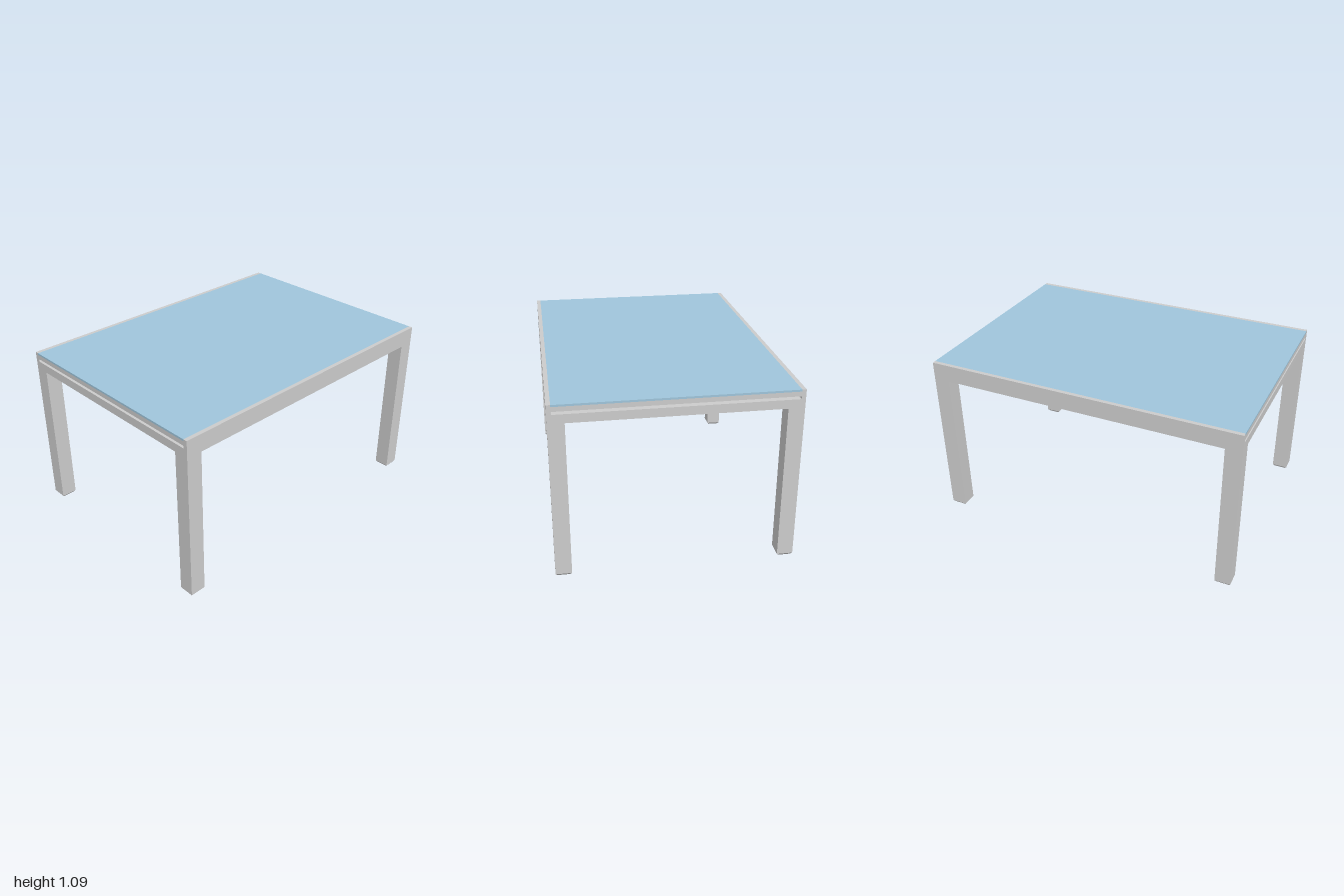
import * as THREE from 'three';

const W = 0.713, L = 1;                      // half width, half length
const LEG_X = 0.096, LEG_Z = 0.1, FOOT = 0.015;
const APRON = 0.975, SEAT = 1.073, TOP = 1.085; // rail underside, glass seat, top
const GLASS_W = 0.688, RAIL = 0.053;

const grey = new THREE.MeshStandardMaterial({ color: 0xcccccc, flatShading: true });
const blue = new THREE.MeshStandardMaterial({ color: 0x9fc5db, flatShading: true });

function add(parent, name, geometry, material, x = 0, y = 0, z = 0) {
  const mesh = new THREE.Mesh(geometry, material);
  mesh.name = name;
  mesh.position.set(x, y, z);
  parent.add(mesh);
  return mesh;
}

function polygon(points) {
  return new THREE.Shape(points.map(([x, y]) => new THREE.Vector2(x, y)));
}

// Narrow slot with softly rounded ends
function slotPath(x, y0, y1, r) {
  const p = new THREE.Path();
  p.absarc(x - r, y0 + r, r, -Math.PI / 2, 0);
  p.absarc(x - r, y1 - r, r, 0, Math.PI / 2);
  p.absarc(-x + r, y1 - r, r, Math.PI / 2, Math.PI);
  p.absarc(-x + r, y0 + r, r, Math.PI, Math.PI * 1.5);
  p.closePath();
  return p;
}

export function createModel() {
  const table = new THREE.Group();
  table.name = 'table';

  // End rails: slotted, with a recess on top for the glass
  const endShape = polygon([
    [-W, APRON], [W, APRON], [W, TOP], [GLASS_W, TOP],
    [GLASS_W, SEAT], [-GLASS_W, SEAT], [-GLASS_W, TOP], [-W, TOP],
  ]);
  endShape.holes.push(slotPath(GLASS_W, 1.028, 1.045, 0.005));
  const endGeo = new THREE.ExtrudeGeometry(endShape, { depth: RAIL, bevelEnabled: false, curveSegments: 4 });
  add(table, 'frontRail', endGeo, grey, 0, 0, L - RAIL);
  add(table, 'backRail', endGeo, grey, 0, 0, -L);

  // Side rails: L-shaped section carrying the glass edge
  const inner = W - RAIL;
  for (const s of [1, -1]) {
    const section = polygon([
      [s * inner, APRON], [s * W, APRON], [s * W, TOP],
      [s * GLASS_W, TOP], [s * GLASS_W, SEAT], [s * inner, SEAT],
    ]);
    const geo = new THREE.ExtrudeGeometry(section, { depth: 2 * (L - RAIL), bevelEnabled: false });
    add(table, s > 0 ? 'leftRail' : 'rightRail', geo, grey, 0, 0, -(L - RAIL));
  }

  // Legs with tapered feet
  const legGeo = new THREE.BoxGeometry(LEG_X, APRON - FOOT, LEG_Z);
  const footGeo = new THREE.CylinderGeometry(Math.SQRT1_2, Math.SQRT1_2 * 0.76, FOOT, 4);
  footGeo.rotateY(Math.PI / 4);
  footGeo.scale(LEG_X, 1, LEG_Z);
  for (const sx of [1, -1]) for (const sz of [1, -1]) {
    const leg = new THREE.Group();
    leg.name = (sz > 0 ? 'front' : 'back') + (sx > 0 ? 'Left' : 'Right') + 'Leg';
    leg.position.set(sx * (W - LEG_X / 2), 0, sz * (L - LEG_Z / 2));
    add(leg, 'post', legGeo, grey, 0, (APRON + FOOT) / 2, 0);
    add(leg, 'foot', footGeo, grey, 0, FOOT / 2, 0);
    table.add(leg);
  }

  // Glass top, flush with the frame
  add(table, 'glassTop', new THREE.BoxGeometry(2 * GLASS_W, TOP - SEAT, 2 * L), blue, 0, (TOP + SEAT) / 2, 0);

  return table;
}
